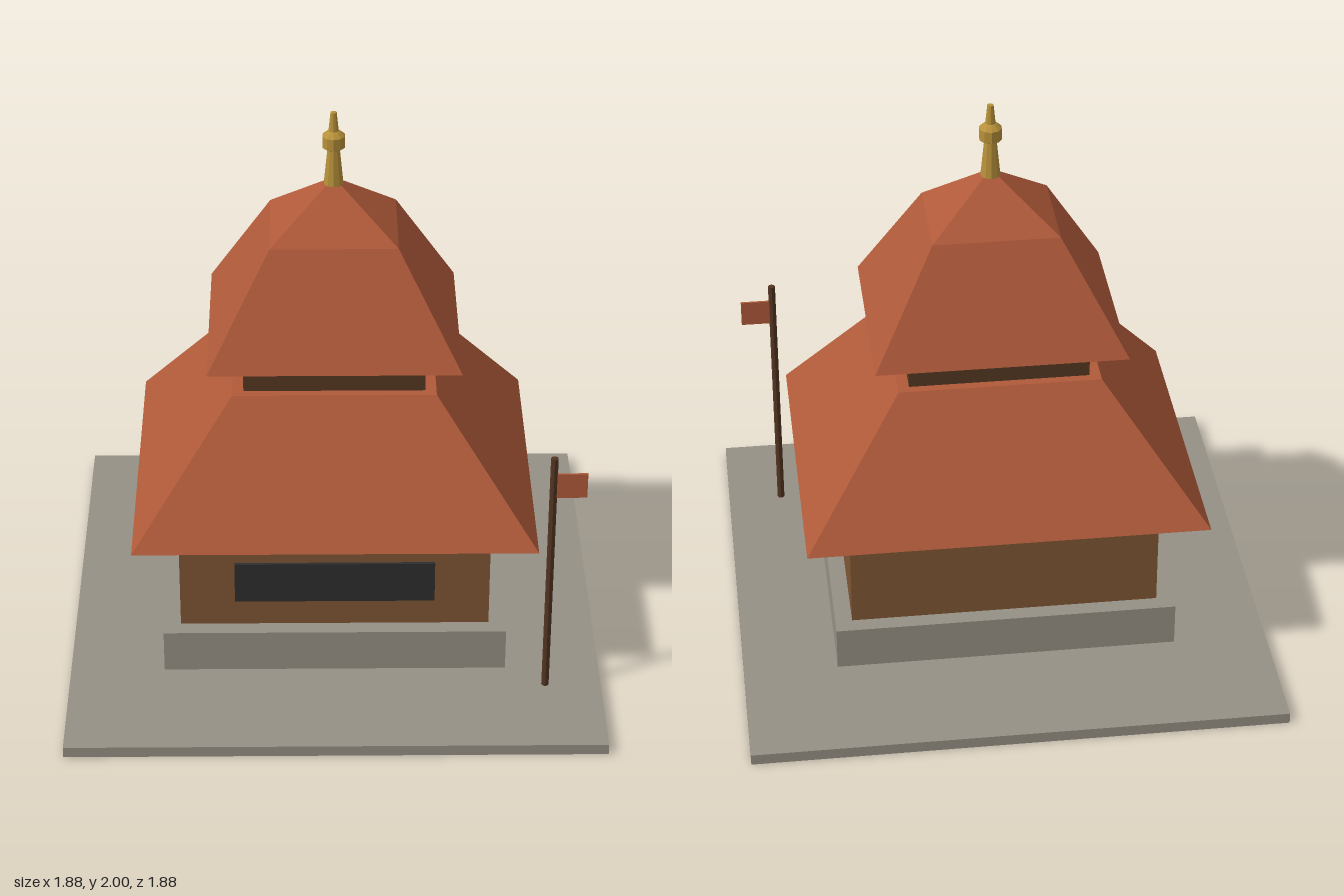
import * as THREE from 'three';

const mat = (name, color) => new THREE.MeshStandardMaterial({ name, color, flatShading: true });

// Closed loft through rectangular sections [halfX, y, halfZ], bottom to top
function rectLoft(sections) {
  const pos = [];
  const ring = ([x, y, z]) => [[-x, y, z], [x, y, z], [x, y, -z], [-x, y, -z]];
  const quad = (a, b, c, d) => pos.push(...a, ...b, ...c, ...a, ...c, ...d);
  const rings = sections.map(ring);
  for (let i = 0; i < rings.length - 1; i++) {
    for (let k = 0; k < 4; k++) {
      const n = (k + 1) % 4;
      quad(rings[i][k], rings[i][n], rings[i + 1][n], rings[i + 1][k]);
    }
  }
  const [b, t] = [rings[0], rings[rings.length - 1]];
  quad(b[3], b[2], b[1], b[0]);
  quad(t[0], t[1], t[2], t[3]);
  const g = new THREE.BufferGeometry();
  g.setAttribute('position', new THREE.Float32BufferAttribute(pos, 3));
  g.computeVertexNormals();
  return g;
}

export function createModel() {
  const model = new THREE.Group();
  model.name = 'pagoda';
  const stone = mat('stone', 0x959084);
  const wood = mat('wallWood', 0x7f5634);
  const darkWood = mat('darkWood', 0x553821);
  const tile = mat('roofTile', 0xb05a3a);
  const dark = mat('darkOpening', 0x2d2d2d);
  const gold = mat('gold', 0xb8913a);
  const poleWood = mat('poleWood', 0x533522);

  const add = (name, geometry, material, x = 0, y = 0, z = 0) => {
    const mesh = new THREE.Mesh(geometry, material);
    mesh.name = name;
    mesh.position.set(x, y, z);
    model.add(mesh);
  };
  // Box from its bottom and top heights
  const block = (name, material, w, d, y0, y1, x = 0, z = 0) =>
    add(name, new THREE.BoxGeometry(w, y1 - y0, d), material, x, (y0 + y1) / 2, z);

  // Ground slab, plinth and storeys
  block('groundSlab', stone, 1.88, 1.88, 0, 0.04);
  block('plinth', stone, 1.214, 0.98, 0.04, 0.198);
  block('lowerWalls', wood, 1.094, 0.864, 0.198, 0.6);
  block('frontOpening', dark, 0.706, 0.016, 0.3, 0.457, 0, 0.435);
  block('upperWalls', darkWood, 0.63, 0.524, 1.05, 1.19);

  // Roofs
  add('lowerRoof', rectLoft([[0.704, 0.595, 0.584], [0.354, 1.06, 0.294]]), tile);
  add('upperRoof', rectLoft([
    [0.438, 1.18, 0.364], [0.22, 1.573, 0.183], [0.016, 1.742, 0.014],
  ]), tile);

  // Finial
  const profile = [
    [0, 1.733], [0.035, 1.733], [0.022, 1.862], [0.04, 1.872], [0.04, 1.914],
    [0.022, 1.93], [0.018, 1.932], [0.011, 2], [0, 2],
  ].map(([r, y]) => new THREE.Vector2(r, y));
  add('finial', new THREE.LatheGeometry(profile, 10), gold);

  // Flagpole at the front left corner
  add('flagpole', new THREE.CylinderGeometry(0.013, 0.013, 0.945, 8), poleWood, 0.743, 0.5125, 0.588);
  block('flag', tile, 0.108, 0.008, 0.828, 0.922, 0.805, 0.588);
  return model;
}
